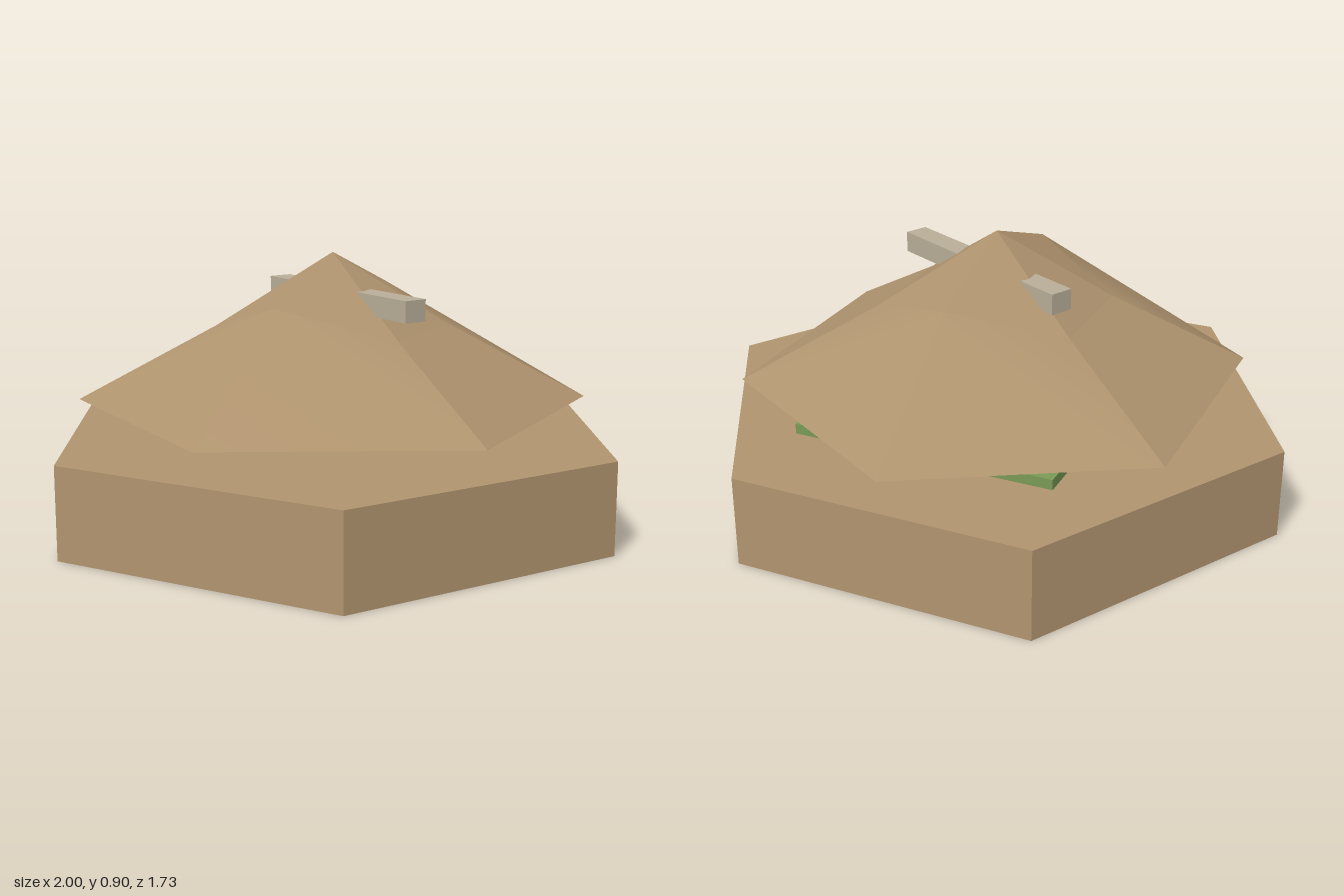
import * as THREE from 'three';

const material = (color, extra = {}) => new THREE.MeshStandardMaterial({ color, ...extra });

function part(name, geometry, mat, x, y, z) {
  const mesh = new THREE.Mesh(geometry, mat);
  mesh.name = name;
  mesh.position.set(x, y, z);
  return mesh;
}

// Six-sided canopy: apex, a bent middle ring (raised at front and back), and the rim.
function canopyGeometry() {
  const apex = [0, 0.9, 0];
  const at = (i, r, y) => [r * Math.sin(i * Math.PI / 3), y, r * Math.cos(i * Math.PI / 3)];
  const mid = i => at(i, 0.39, i % 3 === 0 ? 0.76 : 0.655);
  const rim = i => at(i, 0.855, 0.405);
  const positions = [], indices = [];
  for (let i = 0; i < 6; i++) {
    const n = positions.length / 3;
    // each panel has its own corners, so the ridges stay sharp
    positions.push(...apex, ...mid(i), ...mid(i + 1));
    positions.push(...mid(i), ...rim(i), ...rim(i + 1), ...mid(i + 1));
    indices.push(n, n + 1, n + 2);
    // fold each lower panel from its raised corner
    if (i % 3 === 2) indices.push(n + 4, n + 5, n + 6, n + 4, n + 6, n + 3);
    else indices.push(n + 3, n + 4, n + 5, n + 3, n + 5, n + 6);
  }
  const geometry = new THREE.BufferGeometry();
  geometry.setAttribute('position', new THREE.Float32BufferAttribute(positions, 3));
  geometry.setIndex(indices);
  geometry.computeVertexNormals();
  return geometry;
}

export function createModel() {
  const model = new THREE.Group();
  model.name = 'tent';

  // Hexagonal ground tile with corners on the x axis
  const base = part('groundTile', new THREE.CylinderGeometry(1, 1, 0.305, 6),
    material(0xb0946f, { flatShading: true }), 0, 0.1525, 0);
  base.rotation.y = Math.PI / 6;
  model.add(base);

  // Open canopy floating above the tile
  model.add(part('canopy', canopyGeometry(),
    material(0xb0946f, { side: THREE.DoubleSide }), 0, 0, 0));

  // Beam passing through the canopy
  const beam = part('crossBeam', new THREE.BoxGeometry(0.755, 0.07, 0.08),
    material(0xb8ad98), 0.05, 0.753, 0.016);
  beam.rotation.y = -0.45;
  model.add(beam);

  // Flat mat near the back
  model.add(part('mat', new THREE.BoxGeometry(0.895, 0.035, 0.16),
    material(0x7a9a55), 0.018, 0.333, -0.465));

  return model;
}
